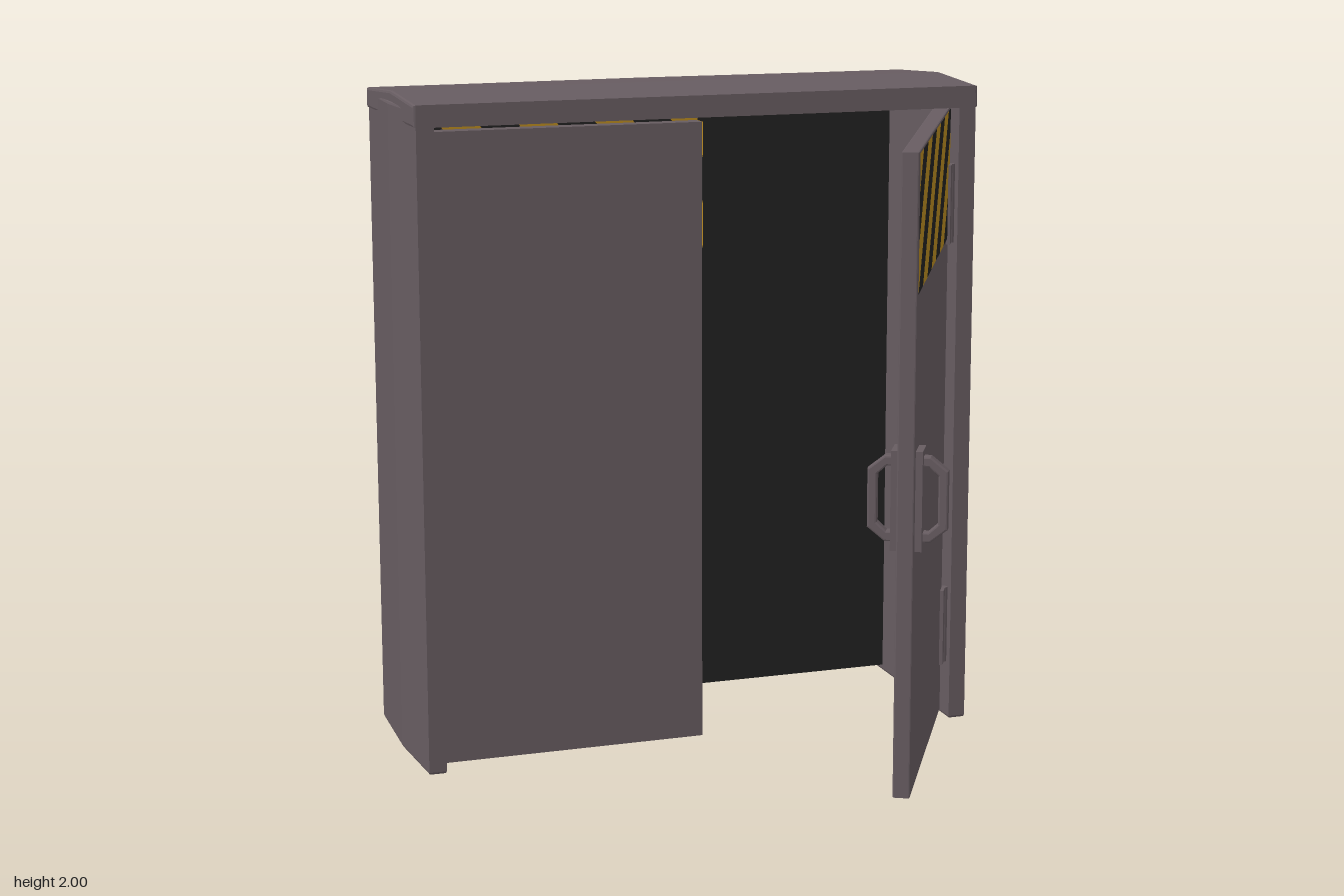
import * as THREE from 'three';

const make = (name, color, side = THREE.FrontSide) => {
  const m = new THREE.MeshStandardMaterial({ color, side });
  m.name = name;
  return m;
};

export function createModel() {
  const metal = make('grey metal', 0x675c61);
  const yellow = make('warning yellow', 0xb98a20, THREE.DoubleSide);
  const black = make('black', 0x212121, THREE.DoubleSide);
  const model = new THREE.Group();
  model.name = 'cabinet';

  const add = (parent, name, geo, mat, x = 0, y = 0, z = 0) => {
    const mesh = new THREE.Mesh(geo, mat);
    mesh.name = name;
    mesh.position.set(x, y, z);
    parent.add(mesh);
    return mesh;
  };
  const extrude = (pts, depth, bevel = 0) => new THREE.ExtrudeGeometry(
    new THREE.Shape(pts.map(([x, y]) => new THREE.Vector2(x, y))),
    { depth, bevelEnabled: bevel > 0, bevelSize: bevel, bevelOffset: -bevel, bevelThickness: bevel, bevelSegments: 2 });
  // Floor plan given as x, z and raised upwards
  const upright = (plan, height) => extrude(plan.map(([x, z]) => [x, -z]), height - 0.016, 0.008)
    .rotateX(-Math.PI / 2).translate(0, 0.008, 0);

  // Cabinet shell: slightly bowed sides, back and top, open underneath
  for (const s of [-1, 1]) {
    add(model, s > 0 ? 'leftWall' : 'rightWall', upright([
      [s * 0.81, -0.055], [s * 0.863, -0.055], [s * 0.877, -0.34], [s * 0.863, -0.655], [s * 0.81, -0.655],
    ], 1.97), metal);
  }
  add(model, 'backWall', upright([
    [-0.86, -0.61], [0.86, -0.61], [0.86, -0.655], [0, -0.68], [-0.86, -0.655],
  ], 1.96), metal, 0, 0.02, 0);
  add(model, 'roof', extrude([
    [-0.055, 1.92], [-0.055, 1.985], [-0.34, 2], [-0.655, 1.98], [-0.655, 1.92],
  ], 1.724, 0.008).translate(0, 0, -0.862).rotateY(-Math.PI / 2), metal);
  add(model, 'darkInterior', new THREE.BoxGeometry(1.62, 1.9, 0.008), black, 0, 0.97, -0.604);

  // Diagonal warning bands filling a quad that runs from u = 0 to u = length
  const hazard = (length, bottom, top, step = 0.115, lean = 0.32) => {
    const group = new THREE.Group();
    group.name = 'warningStripes';
    const clamp = (u) => Math.min(length, Math.max(0, u));
    for (let i = Math.floor(-lean / step); i * step < length; i++) {
      const a = i * step, b = a + step;
      const levels = [0, 1, -a / lean, (length - a) / lean, -b / lean, (length - b) / lean]
        .filter((v) => v >= 0 && v <= 1).sort((p, q) => p - q);
      const pos = [], index = [];
      levels.forEach((v, k) => {
        for (const edge of [a, b]) {
          const u = clamp(edge + lean * v);
          const lo = bottom(u / length), hi = top(u / length);
          pos.push(u, lo + (hi - lo) * v, 0);
        }
        const n = 2 * k;
        if (k) index.push(n - 2, n - 1, n + 1, n - 2, n + 1, n);
      });
      const geo = new THREE.BufferGeometry();
      geo.setAttribute('position', new THREE.Float32BufferAttribute(pos, 3));
      // All bands are flat and face +z
      geo.setAttribute('normal', new THREE.Float32BufferAttribute(pos.map((_, k) => (k % 3 === 2 ? 1 : 0)), 3));
      geo.setIndex(index);
      add(group, i % 2 ? 'yellowBand' : 'blackBand', geo, i % 2 ? yellow : black);
    }
    return group;
  };

  // Closed door: plain outside, striped inside and along its free edge
  const closed = new THREE.Group();
  closed.name = 'closedDoor';
  model.add(closed);
  add(closed, 'doorPanel', new THREE.BoxGeometry(0.81, 1.88, 0.05), metal, -0.405, 0.965, -0.105);
  const inside = hazard(0.814, () => 1.53, () => 1.918);
  inside.position.set(0.004, 0, -0.133);
  inside.rotation.y = Math.PI;
  const edge = hazard(0.05, () => 1.53, () => 1.905);
  edge.position.set(0.003, 0, -0.08);
  edge.rotation.y = Math.PI / 2;
  closed.add(inside, edge);

  // Open door, hinged at its outer corner; its top drops towards the free end
  const L = 0.85;
  const open = new THREE.Group();
  open.name = 'openDoor';
  open.position.set(0.79, 0, -0.08);
  open.rotation.y = 1.06;
  model.add(open);
  add(open, 'doorPanel', extrude([[-L, 0.025], [0, 0.025], [0, 1.92], [-L, 1.885]], 0.042, 0.004)
    .translate(0, 0, -0.046), metal);
  const outside = hazard(L - 0.008, (t) => 1.49 + 0.04 * t, (t) => 1.883 + 0.035 * t);
  outside.position.set(-L + 0.004, 0, 0.003);
  open.add(outside);

  // Handles on both faces: back plate and bent grip
  for (const s of [1, -1]) {
    const handle = new THREE.Group();
    handle.name = s > 0 ? 'outerHandle' : 'innerHandle';
    handle.position.set(-0.07, 0.895, s > 0 ? 0 : -0.05);
    handle.position.x = -0.78;
    handle.rotation.y = s > 0 ? 0 : Math.PI;
    open.add(handle);
    add(handle, 'handlePlate', new THREE.BoxGeometry(0.09, 0.29, 0.02), metal, 0, 0, 0.01);
    const grip = extrude([
      [0.01, -0.125], [0.04, -0.125], [0.09, -0.085], [0.09, 0.085], [0.04, 0.125], [0.01, 0.125],
      [0.01, 0.095], [0.035, 0.095], [0.062, 0.07], [0.062, -0.07], [0.035, -0.095], [0.01, -0.095],
    ], 0.026, 0.005).translate(0, 0, -0.013).rotateY(-Math.PI / 2);
    add(handle, 'handleGrip', grip, metal);
  }

  // Hinges
  for (const y of [0.305, 1.63]) {
    add(open, 'hingeLeaf', new THREE.BoxGeometry(0.04, 0.24, 0.012), metal, -0.03, y, 0.005);
    add(open, 'hingePin', new THREE.CylinderGeometry(0.012, 0.012, 0.24, 10), metal, 0, y, 0.006);
  }
  return model;
}
